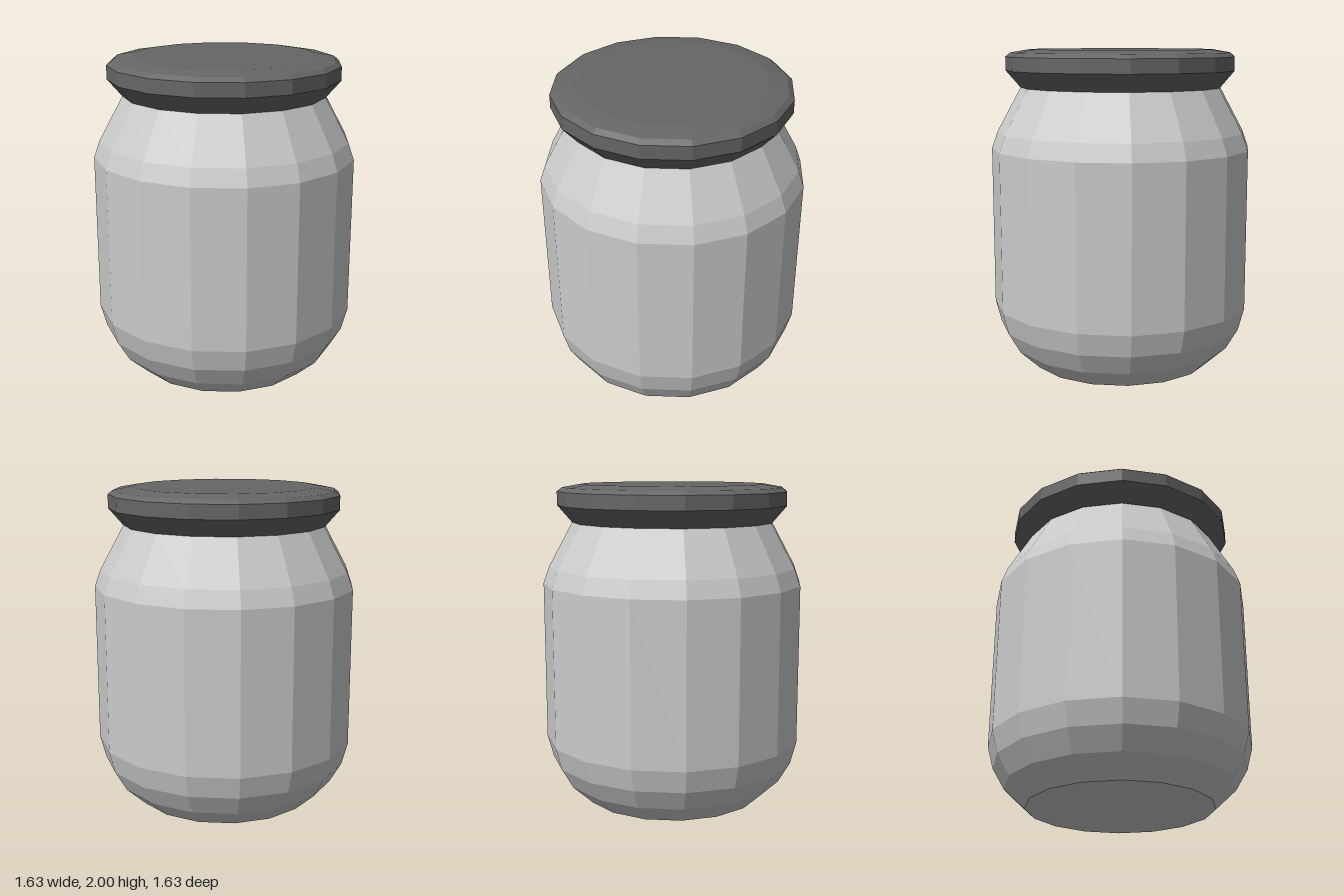
import * as THREE from 'three';

const SIDES = 16;

// Faceted turned part from [radius, height] pairs, listed bottom to top
function turned(name, profile, color) {
  const points = profile.map(([r, y]) => new THREE.Vector2(r, y));
  const mesh = new THREE.Mesh(
    new THREE.LatheGeometry(points, SIDES),
    new THREE.MeshStandardMaterial({ color, flatShading: true })
  );
  mesh.name = name;
  return mesh;
}

export function createModel() {
  const jar = new THREE.Group();
  jar.name = 'jar';

  // Jar body: flat base, rounded foot, straight wall, sloping shoulder
  jar.add(turned('body', [
    [0, 0], [0.575, 0], [0.705, 0.12], [0.78, 0.25], [0.817, 0.39],
    [0.817, 1.385], [0.78, 1.49], [0.63, 1.765],
  ], 0xcccccc));

  // Lid: flared skirt, upright rim, softly bevelled top
  jar.add(turned('lid', [
    [0, 1.765], [0.632, 1.765], [0.722, 1.87], [0.722, 1.955],
    [0.69, 1.98], [0.575, 2], [0, 2],
  ], 0x666666));

  return jar;
}
